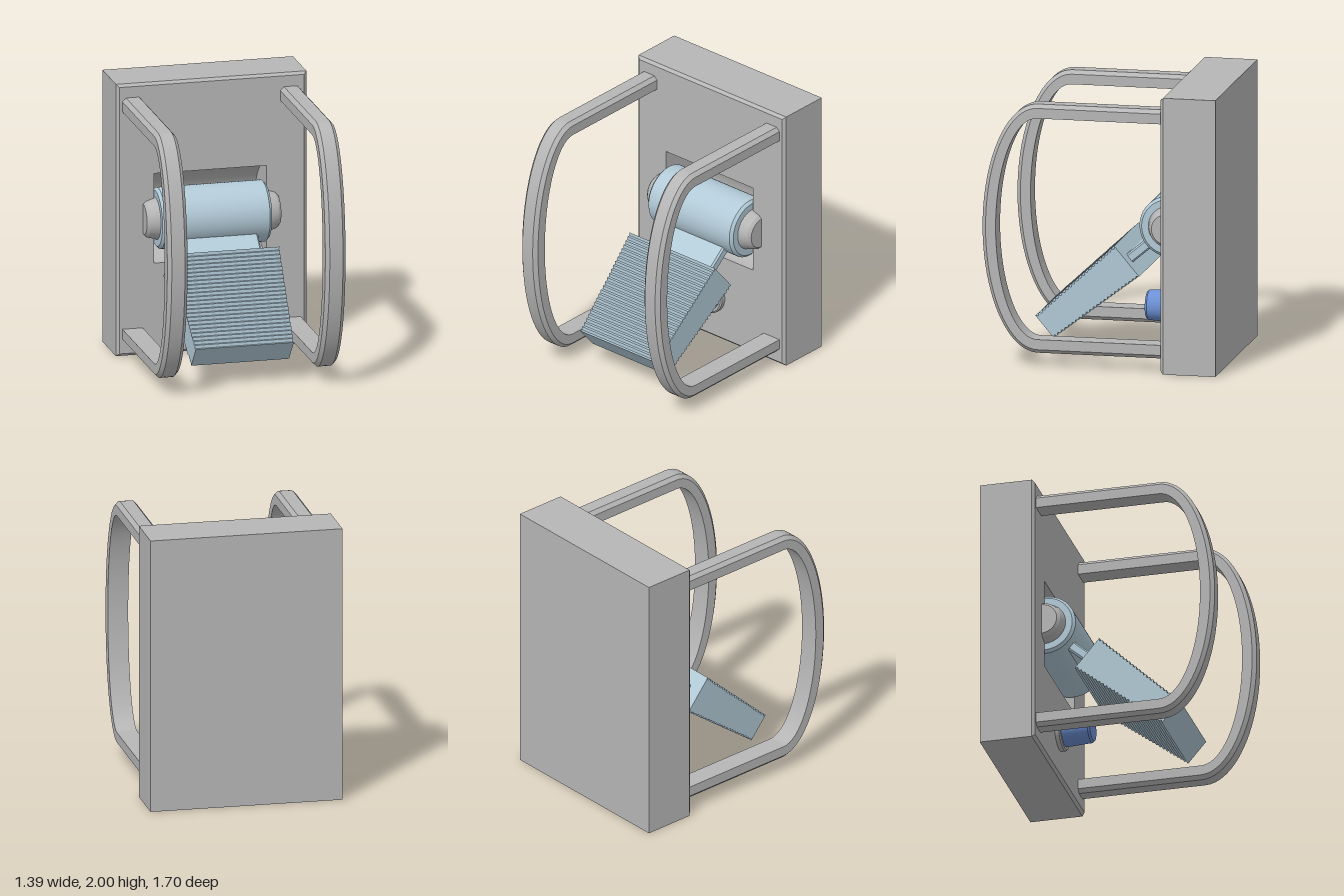
import * as THREE from 'three';
import { toCreasedNormals } from 'three/addons/utils/BufferGeometryUtils.js';

const grey = new THREE.MeshStandardMaterial({ color: 0xb6b6b6, side: THREE.DoubleSide });
grey.name = 'metal grey';
const paleBlue = new THREE.MeshStandardMaterial({ color: 0xb2cad7 });
paleBlue.name = 'pale blue';
const blue = new THREE.MeshStandardMaterial({ color: 0x6c90d4 });
blue.name = 'button blue';

function add(parent, name, geometry, material, x = 0, y = 0, z = 0) {
  const mesh = new THREE.Mesh(geometry, material);
  mesh.name = name;
  mesh.position.set(x, y, z);
  parent.add(mesh);
  return mesh;
}

// Skin over equal-length rings of [x, y, z], counter-clockwise seen from the end
function loft(rings, endCap = true) {
  const n = rings[0].length;
  const index = [];
  for (let i = 0; i < rings.length - 1; i++) {
    for (let j = 0; j < n; j++) {
      const a = i * n + j, b = i * n + (j + 1) % n;
      index.push(a, b, b + n, a, b + n, a + n);
    }
  }
  const last = (rings.length - 1) * n;
  for (let k = 1; k < n - 1; k++) {
    index.push(0, k + 1, k);
    if (endCap) index.push(last, last + k, last + k + 1);
  }
  const g = new THREE.BufferGeometry();
  g.setAttribute('position', new THREE.Float32BufferAttribute(rings.flat(2), 3));
  g.setIndex(index);
  return toCreasedNormals(g, 0.4);
}

// Turned part from [radius, height] pairs, bottom to top
function turned(profile) {
  const pts = profile.map(([r, h]) => new THREE.Vector2(r, h));
  return toCreasedNormals(new THREE.LatheGeometry(pts, 48), 0.4);
}

function rectRing(w, y0, y1, z) {
  return [[-w, y0, z], [w, y0, z], [w, y1, z], [-w, y1, z]];
}

// Box panel with chamfered front and a half-round recess
function createPanel() {
  const panel = new THREE.Group();
  panel.name = 'panel';
  const back = -0.85, front = -0.45, c = 0.02;
  add(panel, 'panelBody', loft([
    rectRing(0.695, 0, 2, back),
    rectRing(0.695, 0, 2, front - c),
    rectRing(0.695 - c, c, 2 - c, front),
  ], false), grey);

  const toPath = (pts, target) => target.setFromPoints(pts.map(([x, y]) => new THREE.Vector2(x, y)));
  const face = toPath(rectRing(0.695 - c, c, 2 - c), new THREE.Shape());
  const r = 0.33, half = 0.41, cx = -0.01;
  face.holes.push(toPath([[cx - half, 1 - r], [cx - half, 1 + r], [cx + half, 1 + r], [cx + half, 1 - r]], new THREE.Path()));
  add(panel, 'panelFace', new THREE.ShapeGeometry(face), grey, 0, 0, front);

  const trough = new THREE.CylinderGeometry(r, r, 2 * half, 32, 1, true, Math.PI / 2, Math.PI);
  // theta range covers the -z half once the axis lies along x
  add(panel, 'recessTrough', trough.rotateZ(Math.PI / 2), grey, cx, 1, front);
  for (const s of [-1, 1]) {
    const wall = new THREE.CircleGeometry(r, 32, 0, Math.PI).rotateZ(-Math.PI / 2).rotateY(Math.PI / 2);
    add(panel, 'recessWall', wall, grey, cx + s * half, 1, front);
  }
  return panel;
}

// Guard bar: straight legs joined by a half-ellipse, chamfered on the outside
function guardGeometry() {
  const w = 0.074, c = 0.026;
  const ring = (zi, yi, zo, yo) => {
    const zm = zi + (zo - zi) * 0.73, ym = yi + (yo - yi) * 0.73;
    return [[-w, yi, zi], [w, yi, zi], [w, ym, zm], [w - c, yo, zo], [c - w, yo, zo], [-w, ym, zm]];
  };
  const rings = [ring(-0.46, 1.8, -0.46, 1.9)];
  const steps = 40;
  for (let i = 0; i <= steps; i++) {
    const t = Math.PI * (0.5 - i / steps), co = Math.cos(t), si = Math.sin(t);
    rings.push(ring(0.45 + 0.3 * co, 1 + 0.8 * si, 0.45 + 0.4 * co, 1 + 0.9 * si));
  }
  rings.push(ring(-0.46, 0.2, -0.46, 0.1));
  return loft(rings);
}

// Tapered pad with sawtooth ridges on both broad faces; length along z
function padGeometry() {
  const s0 = 0.405, s1 = 1.195, teeth = 24, depth = 0.016;
  const halfThick = (s) => 0.14 - 0.037 * (s - s0) / (s1 - s0);
  const edge = [];
  for (let i = 0; i <= teeth * 2; i++) {
    const s = s0 + (s1 - s0) * i / (teeth * 2);
    edge.push([s, halfThick(s) - (i % 2 ? depth : 0)]);
  }
  const outline = [
    ...edge.map(([s, h]) => new THREE.Vector2(s, -h)),
    ...edge.reverse().map(([s, h]) => new THREE.Vector2(s, h)),
  ];
  const g = new THREE.ExtrudeGeometry(new THREE.Shape(outline), { depth: 2, bevelEnabled: false });
  g.translate(0, 0, -1).rotateY(-Math.PI / 2);
  const p = g.attributes.position;
  for (let i = 0; i < p.count; i++) {
    p.setX(i, p.getX(i) * (0.4 - 0.043 * (p.getZ(i) - s0) / (s1 - s0)));
  }
  g.computeVertexNormals();
  return g;
}

// Arm with chamfered long edges
function armGeometry() {
  const w = 0.3, h = 0.036, c = 0.012;
  const ring = (z) => [
    [c - w, -h, z], [w - c, -h, z], [w, c - h, z], [w, h - c, z],
    [w - c, h, z], [c - w, h, z], [-w, h - c, z], [-w, c - h, z],
  ];
  return loft([ring(0.18), ring(0.42)]);
}

// Pivot barrel with hub caps, carrying the tilted pedal
function createPedal() {
  const pedal = new THREE.Group();
  pedal.name = 'pedal';
  pedal.position.set(-0.01, 1, -0.45);
  pedal.rotation.x = THREE.MathUtils.degToRad(40.3);
  const barrel = turned([[0, -0.4], [0.2, -0.4], [0.22, -0.38], [0.22, 0.38], [0.2, 0.4], [0, 0.4]]);
  add(pedal, 'barrel', barrel.rotateZ(Math.PI / 2), paleBlue);
  const hub = turned([
    [0, -0.49], [0.11, -0.49], [0.13, -0.47], [0.152, -0.4],
    [0.152, 0.4], [0.13, 0.47], [0.11, 0.49], [0, 0.49],
  ]);
  add(pedal, 'hubCaps', hub.rotateZ(Math.PI / 2), grey);
  add(pedal, 'arm', armGeometry(), paleBlue);
  add(pedal, 'ridgedPad', padGeometry(), paleBlue);
  return pedal;
}

// Push button on a collar below the pedal
function createButton() {
  const button = new THREE.Group();
  button.name = 'button';
  button.position.set(-0.01, 0.343, -0.45);
  button.rotation.x = Math.PI / 2;
  add(button, 'buttonCollar', turned([[0, -0.01], [0.145, -0.01], [0.145, 0.03], [0.135, 0.04], [0, 0.04]]), grey);
  add(button, 'buttonCap', turned([[0, 0], [0.117, 0], [0.117, 0.04], [0.108, 0.23], [0.096, 0.245], [0, 0.245]]), blue);
  return button;
}

export function createModel() {
  const model = new THREE.Group();
  model.name = 'pedalUnit';
  model.add(createPanel(), createPedal(), createButton());
  const guard = guardGeometry();
  add(model, 'leftGuard', guard, grey, 0.575);
  add(model, 'rightGuard', guard, grey, -0.578);
  return model;
}
